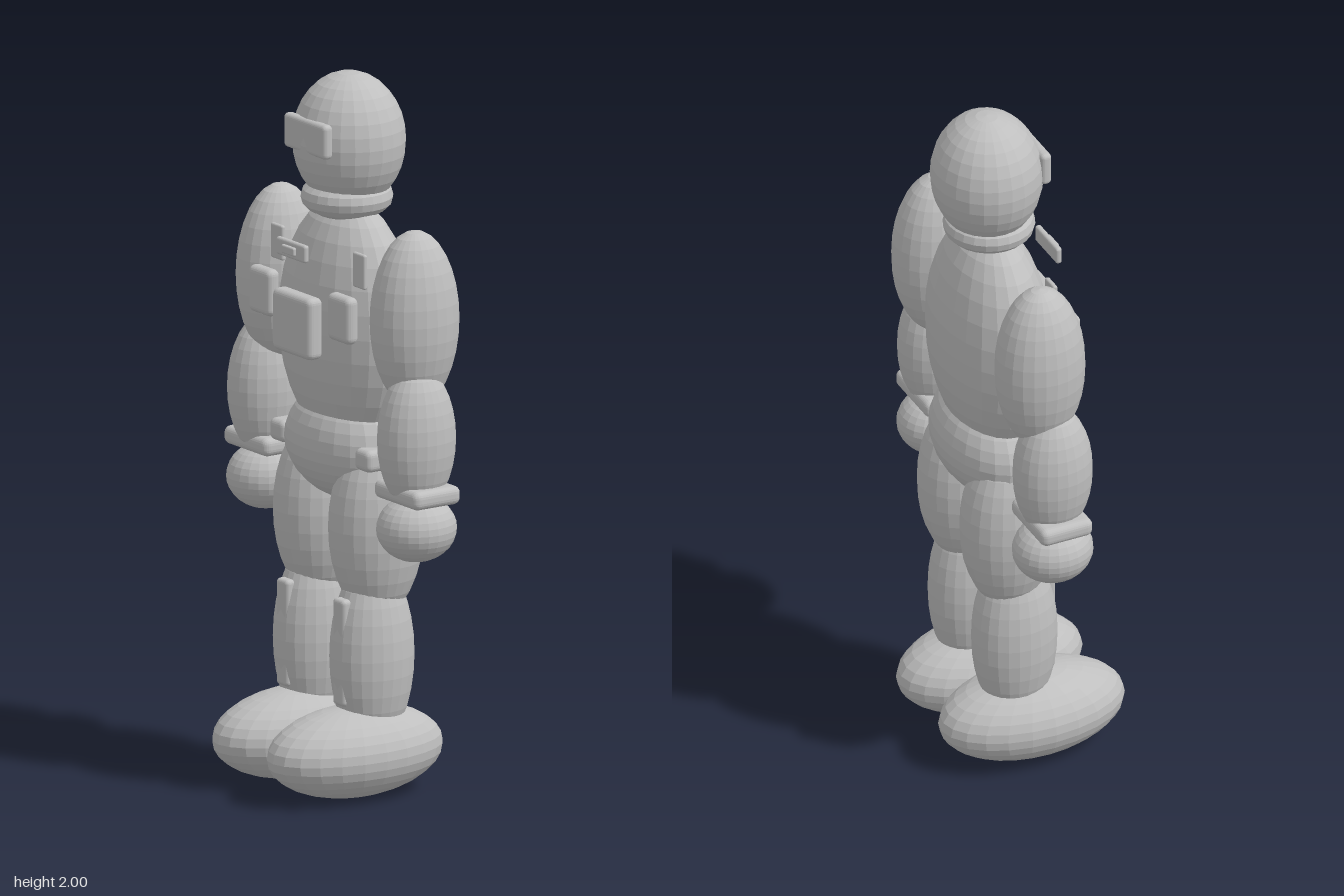
import * as THREE from 'three';
import { RoundedBoxGeometry } from 'three/addons/geometries/RoundedBoxGeometry.js';

export function createModel() {
  const model = new THREE.Group();
  model.name = 'armouredFigure';
  const grey = new THREE.MeshStandardMaterial({ color: 0xbfbfbf, flatShading: true });
  grey.name = 'suitGrey';

  function add(name, geometry, x, y, z) {
    const mesh = new THREE.Mesh(geometry, grey);
    mesh.name = name;
    mesh.position.set(x, y, z);
    model.add(mesh);
  }
  // Ellipsoid given by centre and radii
  function ellipsoid(name, [x, y, z], [rx, ry, rz]) {
    add(name, new THREE.SphereGeometry(1, 24, 16).scale(rx, ry, rz), x, y, z);
  }
  // Soft-edged box given by centre and size
  function box(name, [x, y, z], [w, h, d], r) {
    add(name, new RoundedBoxGeometry(w, h, d, 3, r), x, y, z);
  }

  // Head, visor and neck
  ellipsoid('head', [0, 1.81, -0.072], [0.161, 0.19, 0.154]);
  box('visor', [0, 1.838, 0.064], [0.198, 0.097, 0.032], 0.013);
  const collar = new THREE.TorusGeometry(0.086, 0.041, 12, 24).rotateX(Math.PI / 2);
  add('collar', collar, 0, 1.652, -0.065);
  ellipsoid('neck', [0, 1.64, -0.065], [0.118, 0.052, 0.114]);

  // Trunk
  ellipsoid('torso', [0, 1.295, -0.066], [0.247, 0.352, 0.152]);
  ellipsoid('pelvis', [0, 0.96, -0.068], [0.222, 0.157, 0.145]);

  // Chest equipment
  box('chestPack', [0, 1.315, 0.1], [0.18, 0.174, 0.052], 0.018);
  box('badgePlate', [0, 1.525, 0.116], [0.138, 0.05, 0.018], 0.008);
  box('badgeInset', [0, 1.525, 0.128], [0.06, 0.024, 0.014], 0.005);

  // Mirrored limbs and side equipment
  for (const [side, s] of [['left', 1], ['right', -1]]) {
    const part = (n) => side + n;
    box(part('StrapClip'), [s * 0.195, 1.494, 0.028], [0.056, 0.098, 0.014], 0.006);
    box(part('ChestPouch'), [s * 0.187, 1.366, 0.08], [0.104, 0.132, 0.042], 0.018);
    box(part('BeltPouch'), [s * 0.202, 0.96, -0.03], [0.07, 0.062, 0.125], 0.018);

    ellipsoid(part('UpperArm'), [s * 0.318, 1.37, -0.067], [0.111, 0.25, 0.128]);
    ellipsoid(part('Forearm'), [s * 0.356, 1.045, -0.047], [0.097, 0.205, 0.113]);
    box(part('WristCuff'), [s * 0.357, 0.895, -0.049], [0.206, 0.052, 0.157], 0.02);
    ellipsoid(part('Hand'), [s * 0.356, 0.793, -0.047], [0.106, 0.093, 0.113]);

    ellipsoid(part('Thigh'), [s * 0.131, 0.75, -0.071], [0.121, 0.26, 0.137]);
    ellipsoid(part('Shin'), [s * 0.134, 0.39, -0.054], [0.104, 0.265, 0.122]);
    box(part('ShinGuard'), [s * 0.134, 0.41, 0.043], [0.055, 0.3, 0.036], 0.012);
    ellipsoid(part('Foot'), [s * 0.13, 0.127, 0], [0.157, 0.127, 0.273]);
  }
  return model;
}
